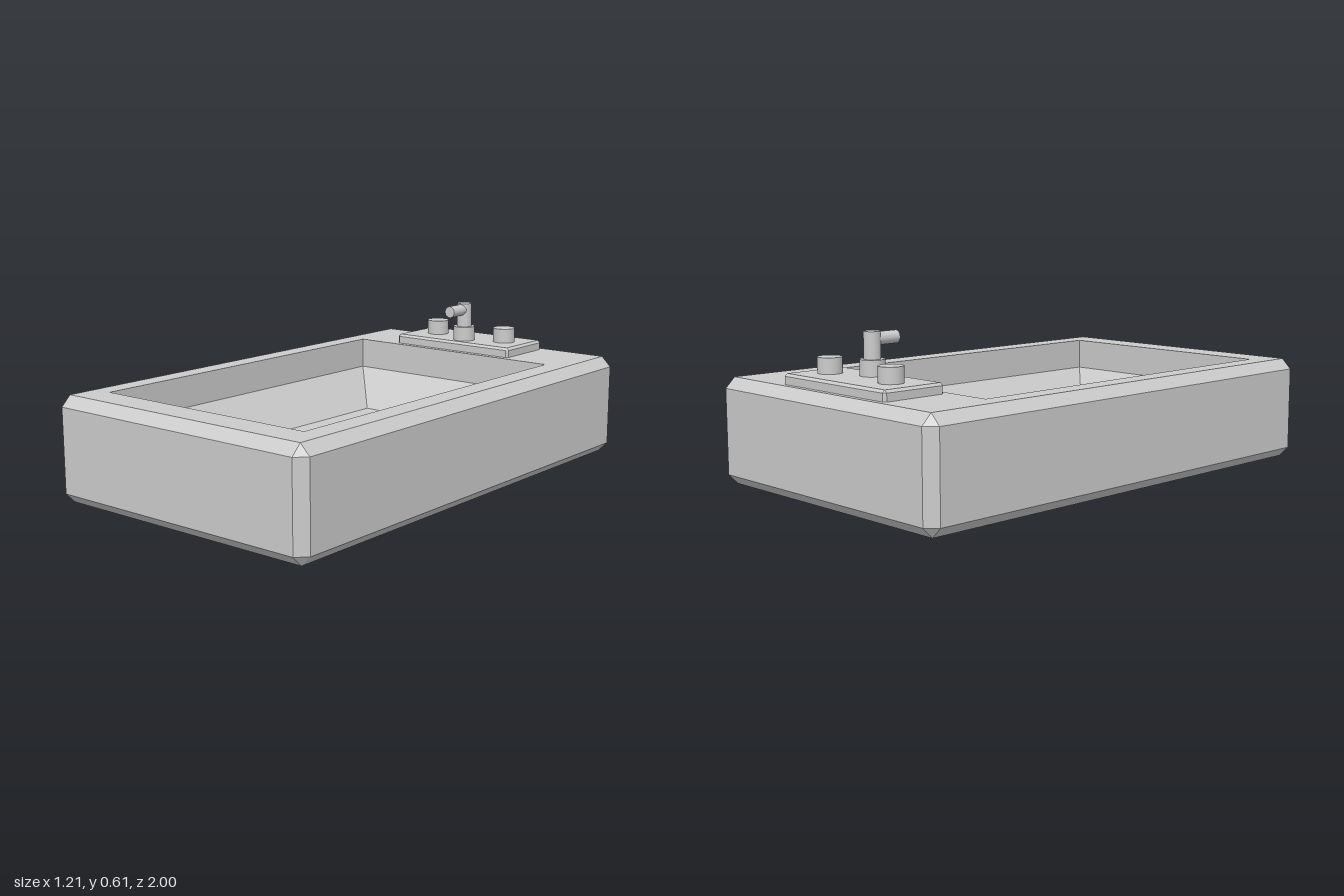
import * as THREE from 'three';

const material = new THREE.MeshStandardMaterial({ color: 0xcccccc });
const flatMaterial = new THREE.MeshStandardMaterial({ color: 0xcccccc, flatShading: true });

// Rectangle in plan with its corners cut off by c (c = 0 gives a plain rectangle)
function ring([x0, x1, z0, z1, y, c = 0]) {
  return [
    [x0 + c, z1], [x1 - c, z1], [x1, z1 - c], [x1, z0 + c],
    [x1 - c, z0], [x0 + c, z0], [x0, z0 + c], [x0, z1 - c],
  ].map(([x, z]) => new THREE.Vector3(x, y, z));
}

// Joins successive rings with flat faces, skipping collapsed triangles
function loft(sections) {
  const rings = sections.map(ring);
  const points = [];
  const tri = (a, b, c) => {
    if (new THREE.Triangle(a, b, c).getArea() > 1e-9) points.push(a, b, c);
  };
  for (let k = 0; k < rings.length - 1; k++) {
    const a = rings[k], b = rings[k + 1];
    for (let i = 0; i < 8; i++) {
      const j = (i + 1) % 8;
      tri(a[i], a[j], b[j]);
      tri(a[i], b[j], b[i]);
    }
  }
  const geometry = new THREE.BufferGeometry().setFromPoints(points);
  geometry.computeVertexNormals();
  return geometry;
}

// Sections of a box with every edge chamfered by c, from bottom centre to top rim
function chamferedBox(x0, x1, z0, z1, y0, y1, c) {
  const inner = [x0 + c, x1 - c, z0 + c, z1 - c];
  const outer = [x0, x1, z0, z1];
  const cx = (x0 + x1) / 2, cz = (z0 + z1) / 2;
  return [
    [cx, cx, cz, cz, y0],
    [...inner, y0],
    [...outer, y0 + c, c],
    [...outer, y1 - c, c],
    [...inner, y1],
  ];
}

export function createModel() {
  const group = new THREE.Group();
  const add = (name, geometry, mat = material) => {
    const mesh = new THREE.Mesh(geometry, mat);
    mesh.name = name;
    group.add(mesh);
    return mesh;
  };
  const cylinder = (name, r, y0, y1, x, z) =>
    add(name, new THREE.CylinderGeometry(r, r, y1 - y0, 32)).position.set(x, (y0 + y1) / 2, z);

  // Tub: chamfered block, straight upper basin walls, sloped lower walls, flat floor
  add('tub', loft([
    ...chamferedBox(-0.605, 0.605, -1, 1, 0, 0.41, 0.04),
    [-0.485, 0.475, -0.65, 0.84, 0.41],
    [-0.485, 0.475, -0.65, 0.84, 0.285],
    [-0.355, 0.34, -0.52, 0.71, 0.13],
    [0, 0, 0.095, 0.095, 0.13],
  ]), flatMaterial);

  cylinder('drain', 0.05, 0.12, 0.155, 0.015, -0.375);

  // Tap plate, sunk slightly into the rim
  add('tapPlate', loft([
    ...chamferedBox(-0.305, 0.275, -0.94, -0.675, 0.39, 0.45, 0.01),
    [-0.015, -0.015, -0.81, -0.81, 0.45],
  ]), flatMaterial);

  // Taps and spout
  cylinder('rightKnob', 0.046, 0.44, 0.51, -0.183, -0.812);
  cylinder('leftKnob', 0.046, 0.44, 0.51, 0.166, -0.812);
  cylinder('spoutBase', 0.046, 0.44, 0.51, 0.004, -0.745);
  cylinder('spoutStem', 0.031, 0.5, 0.61, 0.004, -0.745);
  const spout = add('spout', new THREE.CylinderGeometry(0.024, 0.024, 0.11, 32));
  spout.rotation.x = Math.PI / 2;
  spout.position.set(0.004, 0.582, -0.69);

  return group;
}
